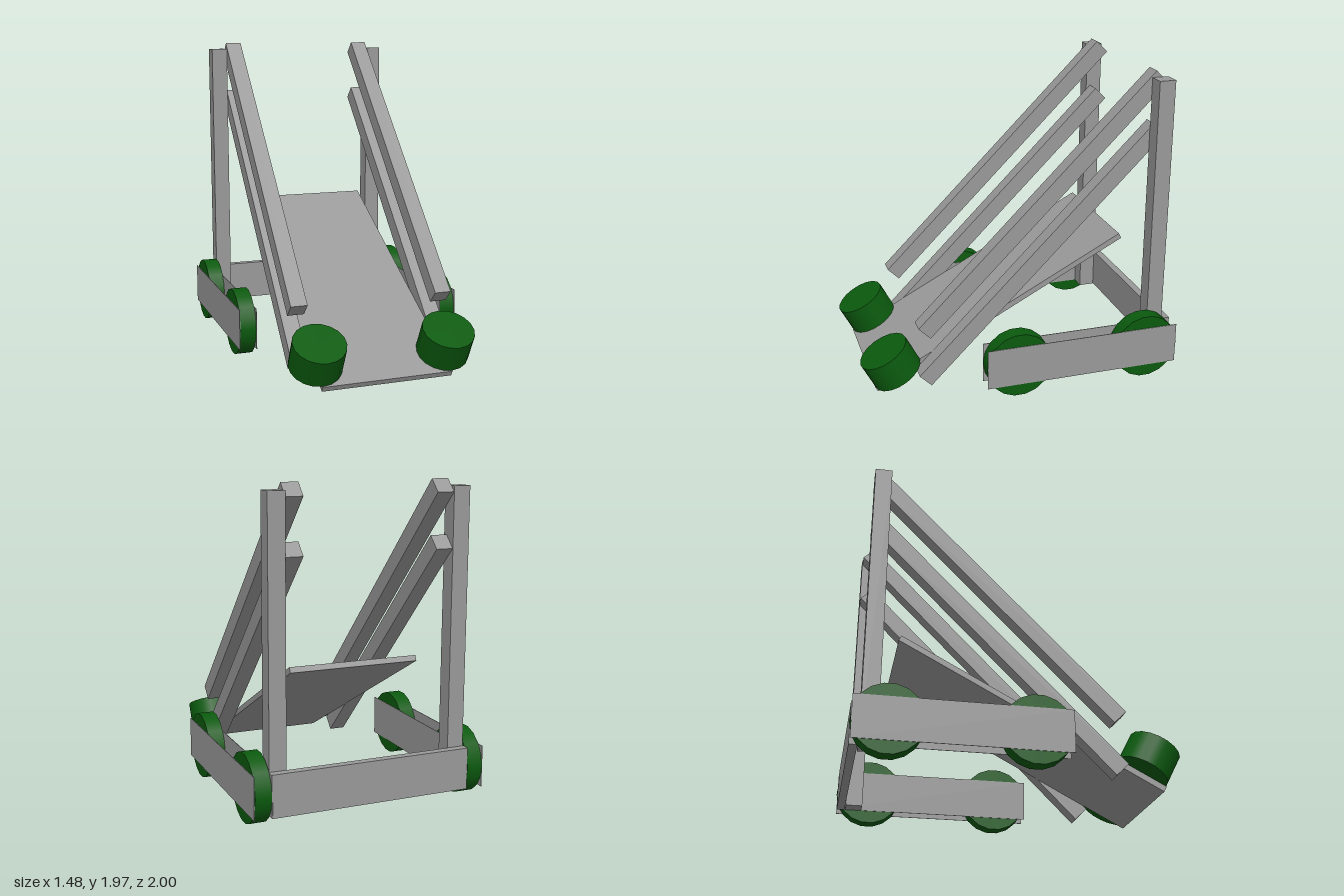
import * as THREE from 'three';

const grey = new THREE.MeshStandardMaterial({ color: 0x999999 });
const green = new THREE.MeshStandardMaterial({ color: 0x0b5a0e });

export function createModel() {
  const model = new THREE.Group();

  const add = (name, geometry, material, x, y, z) => {
    const mesh = new THREE.Mesh(geometry, material);
    mesh.name = name;
    mesh.position.set(x, y, z);
    model.add(mesh);
    return mesh;
  };
  const box = (name, w, h, d, x, y, z) =>
    add(name, new THREE.BoxGeometry(w, h, d), grey, x, y, z);
  const cylinder = (name, radius, height, x, y, z) =>
    add(name, new THREE.CylinderGeometry(radius, radius, height, 18), green, x, y, z);

  const tilt = Math.atan2(0.853, 1.63); // slope of the deck

  // sloping deck and rear crossbar
  box('deck', 0.83, 0.036, 1.84, 0, 0.4425, 0.0935).rotation.x = tilt;
  box('rearCrossbar', 1.26, 0.26, 0.05, 0, 0.217, -0.972);

  for (const [side, s] of [['left', 1], ['right', -1]]) {
    // upright post with two parallel diagonal beams
    box(side + 'Post', 0.105, 1.84, 0.105, s * 0.577, 1.007, -0.89);
    box(side + 'UpperBeam', 0.106, 0.106, 2.143, s * 0.471, 1.172, -0.145).rotation.x = Math.PI / 4;
    box(side + 'LowerBeam', 0.106, 0.106, 2.143, s * 0.471, 0.842, -0.145).rotation.x = Math.PI / 4;

    // thin plates on both faces of the wheels
    box(side + 'InnerPlate', 0.004, 0.26, 1.265, s * 0.632, 0.217, -0.363);
    box(side + 'OuterPlate', 0.004, 0.26, 1.265, s * 0.739, 0.217, -0.363);

    // wheels between the plates
    cylinder(side + 'FrontWheel', 0.211, 0.1, s * 0.685, 0.218, 0.06).rotation.z = Math.PI / 2;
    cylinder(side + 'RearWheel', 0.211, 0.1, s * 0.685, 0.218, -0.79).rotation.z = Math.PI / 2;

    // drum standing on the low end of the deck
    cylinder(side + 'Drum', 0.164, 0.188, s * 0.413, 0.195, 0.813).rotation.x = tilt;
  }
  return model;
}
